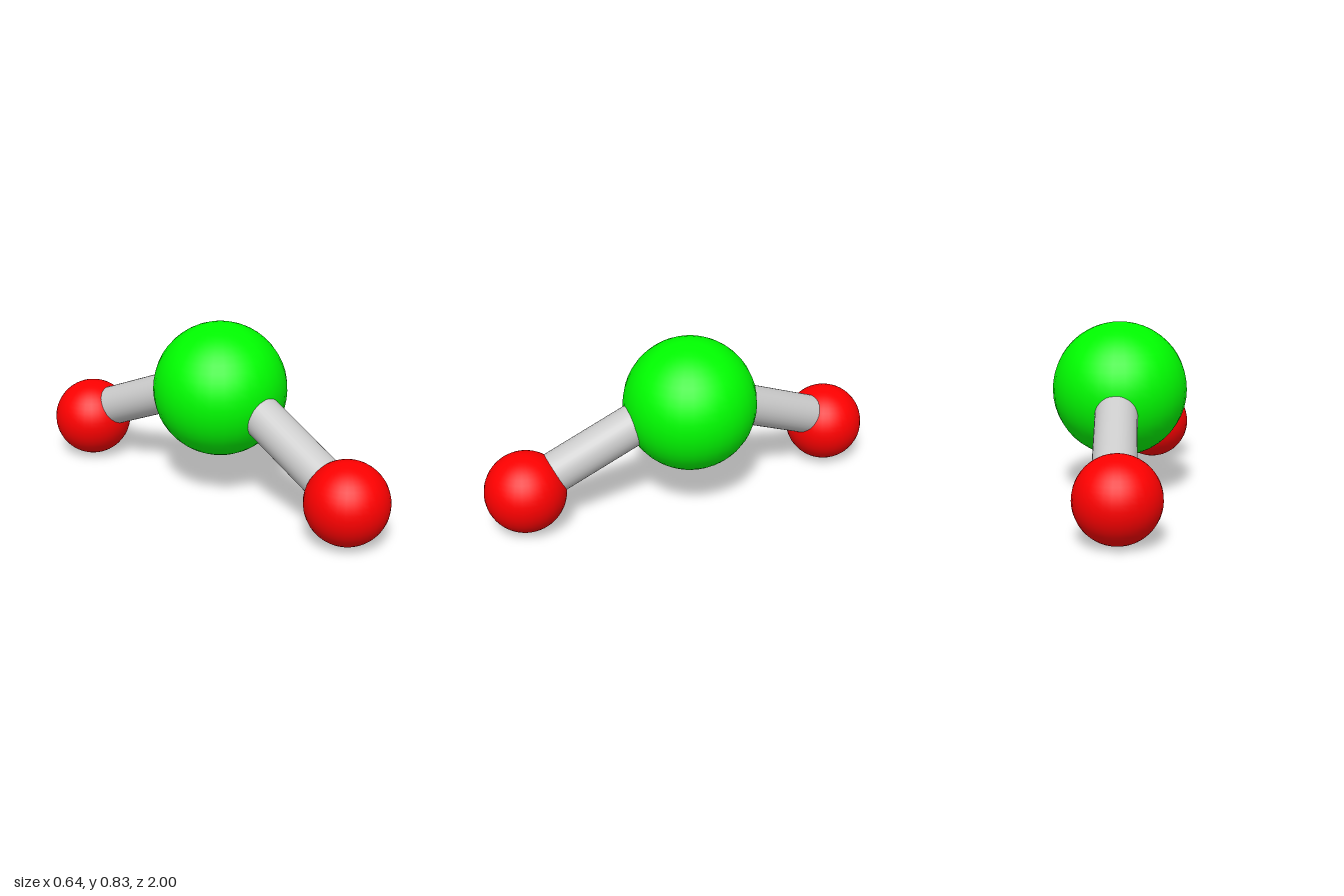
import * as THREE from 'three';

export function createModel() {
  const model = new THREE.Group();
  const green = new THREE.MeshStandardMaterial({ color: 0x00ff00 });
  const red = new THREE.MeshStandardMaterial({ color: 0xff0000 });
  const grey = new THREE.MeshStandardMaterial({ color: 0xcccccc });

  function ball(name, radius, position, material) {
    const mesh = new THREE.Mesh(new THREE.SphereGeometry(radius, 32, 24), material);
    mesh.name = name;
    mesh.position.set(...position);
    model.add(mesh);
  }

  // Straight rod between two points
  function rod(name, radius, from, to) {
    const a = new THREE.Vector3(...from);
    const b = new THREE.Vector3(...to);
    const mesh = new THREE.Mesh(new THREE.CylinderGeometry(radius, radius, a.distanceTo(b), 32), grey);
    mesh.name = name;
    mesh.position.copy(a).lerp(b, 0.5);
    mesh.quaternion.setFromUnitVectors(new THREE.Vector3(0, 1, 0), b.sub(a).normalize());
    model.add(mesh);
  }

  // Large central ball and the two smaller outer balls
  ball('centralBall', 0.318, [0, 0.512, 0], green);
  ball('frontBall', 0.192, [-0.083, 0.192, 0.808], red);
  ball('backBall', 0.192, [-0.083, 0.192, -0.808], red);

  // Connecting rods, with both ends buried inside the balls
  rod('frontRod', 0.098, [-0.01, 0.532, 0.1], [-0.085, 0.2, 0.8]);
  rod('backRod', 0.098, [0.002, 0.516, -0.1], [-0.067, 0.225, -0.8]);

  return model;
}
